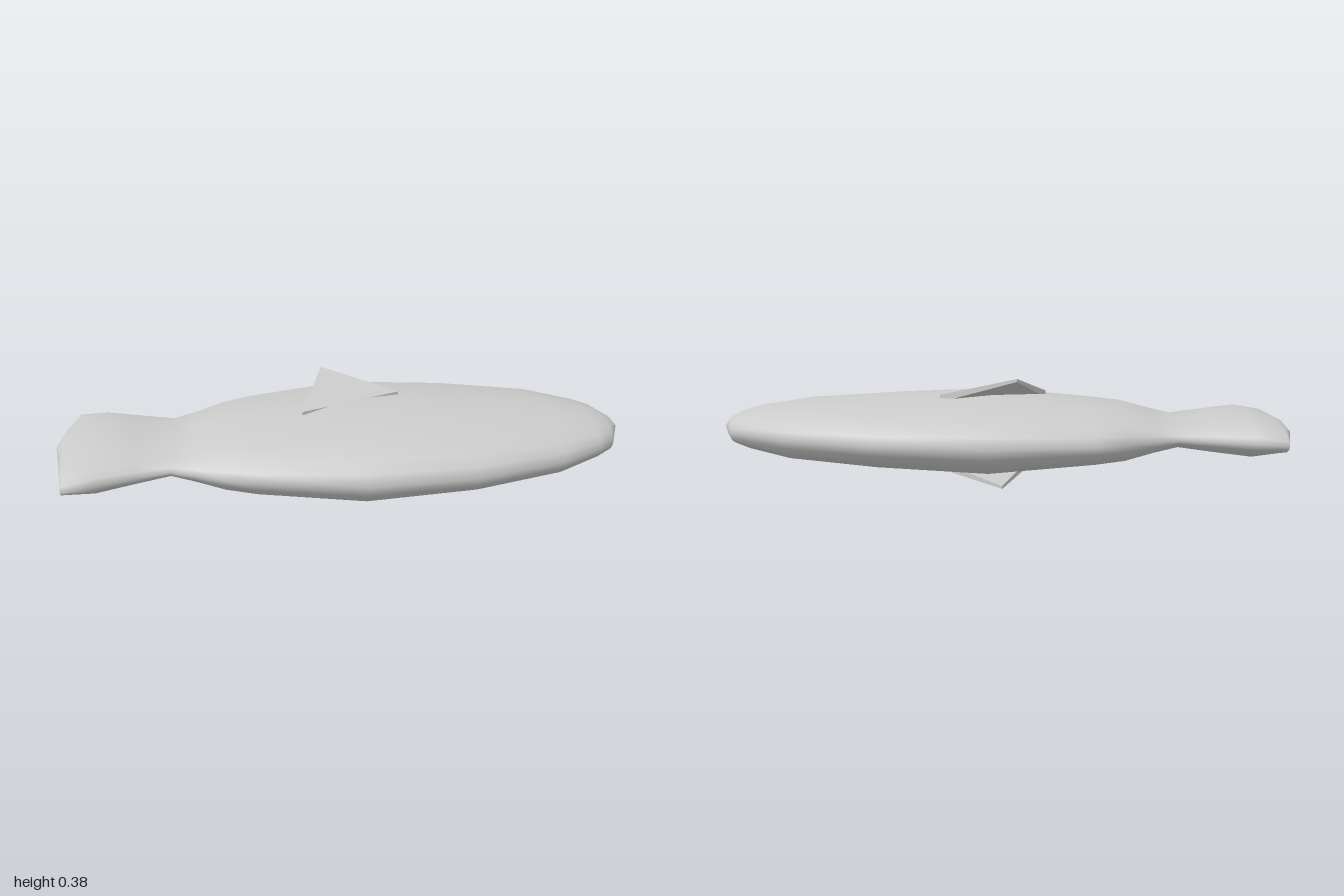
import * as THREE from 'three';
import { ConvexGeometry } from 'three/addons/geometries/ConvexGeometry.js';

const MID_Y = 0.176;

// One quarter of the flattened cross-section: [width, height] fractions
const QUARTER = [[1, 0], [0.955, 0.27], [0.875, 0.52], [0.7, 0.75], [0.36, 0.89], [0, 1]];

// Mirror the quarter into a closed ring
function makeRing() {
  const upper = [...QUARTER, ...QUARTER.slice(0, -1).reverse().map(([w, h]) => [-w, h])];
  const lower = upper.slice(1, -1).reverse().map(([w, h]) => [w, -h]);
  return [...upper, ...lower];
}

// Loft rings along x; each station is [x, zBack, zFront, halfThickness]
function loft(stations) {
  const ring = makeRing(), n = ring.length;
  const positions = [], index = [];
  for (const [x, z0, z1, h] of stations) {
    for (const [w, t] of ring) {
      positions.push(x, MID_Y + t * h, (z0 + z1) / 2 + w * (z1 - z0) / 2);
    }
  }
  for (let i = 0; i < stations.length - 1; i++) {
    for (let j = 0; j < n; j++) {
      const k = (j + 1) % n;
      const a = i * n + j, b = a + n, c = i * n + k, d = c + n;
      index.push(a, b, c, b, d, c);
    }
  }
  const geometry = new THREE.BufferGeometry();
  geometry.setAttribute('position', new THREE.Float32BufferAttribute(positions, 3));
  geometry.setIndex(index);
  geometry.computeVertexNormals();
  return geometry;
}

// Thin triangular plate: two root corners sunk in the body and a free tip
function finGeometry(rootA, rootB, tip, side) {
  const points = [];
  for (const [p, thickness] of [[rootA, 0.025], [rootB, 0.025], [tip, 0.01]]) {
    const v = new THREE.Vector3(...p);
    points.push(v, v.clone().add(new THREE.Vector3(0, -side * thickness, 0)));
  }
  return new ConvexGeometry(points);
}

export function createModel() {
  const model = new THREE.Group();
  model.name = 'fish';
  const material = new THREE.MeshStandardMaterial({ color: 0xcccccc });

  const add = (name, geometry) => {
    const mesh = new THREE.Mesh(geometry, material);
    mesh.name = name;
    model.add(mesh);
  };

  // Body and tail fan, from the tail edge to the nose
  add('bodyAndTail', loft([
    [-1, -0.03, -0.03, 0],
    [-0.97, -0.17, 0.15, 0.036],
    [-0.94, -0.316, 0.355, 0.05],
    [-0.84, -0.285, 0.32, 0.076],
    [-0.72, -0.255, 0.275, 0.062],
    [-0.6, -0.23, 0.238, 0.045],
    [-0.52, -0.265, 0.275, 0.065],
    [-0.42, -0.32, 0.325, 0.094],
    [-0.32, -0.368, 0.365, 0.104],
    [0.03, -0.44, 0.435, 0.136],
    [0.4, -0.41, 0.405, 0.118],
    [0.71, -0.312, 0.308, 0.1],
    [0.87, -0.21, 0.21, 0.074],
    [0.93, -0.17, 0.165, 0.054],
    [0.97, -0.075, 0.07, 0.035],
    [1, 0, 0, 0],
  ]));

  // One swept fin on each flank
  add('upperFin', finGeometry([-0.15, 0.302, 0.06], [0.21, 0.305, -0.1], [-0.06, 0.375, -0.205], 1));
  add('lowerFin', finGeometry([-0.12, 0.047, 0.09], [0.21, 0.047, -0.11], [-0.01, 0, -0.205], -1));

  return model;
}
